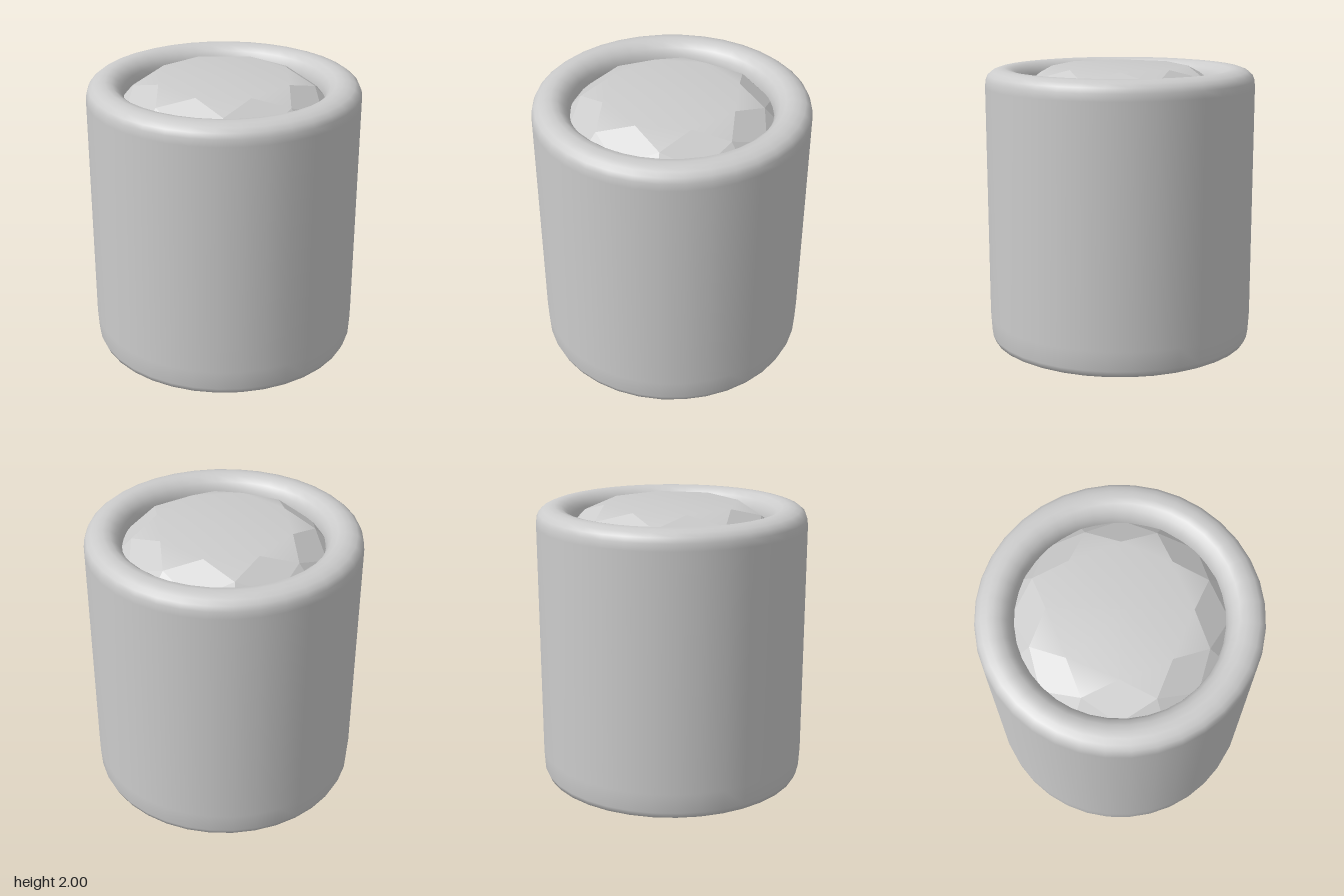
import * as THREE from 'three';

const STEP = Math.PI / 4;
const ring = (k, r, y) => [r * Math.sin(k * STEP), y, r * Math.cos(k * STEP)];

function lathe(points) {
  return new THREE.LatheGeometry(points.map(([r, y]) => new THREE.Vector2(r, y)), 36);
}

function fromTriangles(corners) {
  const g = new THREE.BufferGeometry();
  g.setAttribute('position', new THREE.Float32BufferAttribute(corners.flat(), 3));
  return g;
}

export function createModel() {
  const model = new THREE.Group();
  const smooth = new THREE.MeshStandardMaterial({ color: 0xcccccc });
  const faceted = new THREE.MeshStandardMaterial({ color: 0xcccccc, flatShading: true });
  const add = (name, geometry, material) => {
    const mesh = new THREE.Mesh(geometry, material);
    mesh.name = name;
    model.add(mesh);
  };

  // Round body: softened foot, straight wall, rolled rim dipping inside
  add('body', lathe([
    [0.87, 0], [0.9, 0.005], [0.93, 0.02], [0.947, 0.06], [0.955, 0.2],
    [0.955, 1.86], [0.95, 1.91], [0.935, 1.945], [0.905, 1.97], [0.865, 1.985],
    [0.82, 1.99], [0.775, 1.98], [0.735, 1.95], [0.71, 1.91], [0.697, 1.86], [0.695, 1.78],
  ]), smooth);
  add('base', lathe([[0, 0], [0.87, 0]]), smooth);

  // Cut gem: table and star facets blend softly, kites and girdle facets are flat
  const table = [[0, 2, 0]];
  const tableIndex = [];
  const crown = [];
  for (let k = 0; k < 8; k++) {
    table.push(ring(k, 0.48, 2), ring(k + 0.5, 0.63, 1.93));
    const a = 1 + 2 * k, mid = a + 1, b = 1 + 2 * ((k + 1) % 8);
    tableIndex.push(0, a, b, a, mid, b);

    const top = ring(k, 0.48, 2), rim = ring(k, 0.72, 1.835);
    const before = ring(k - 0.5, 0.63, 1.93), after = ring(k + 0.5, 0.63, 1.93);
    const rimBefore = ring(k - 0.5, 0.72, 1.835), rimAfter = ring(k + 0.5, 0.72, 1.835);
    crown.push(top, before, rim, top, rim, after);
    crown.push(before, rimBefore, rim, after, rim, rimAfter);
  }
  const tableGeometry = fromTriangles(table);
  tableGeometry.setIndex(tableIndex);
  tableGeometry.computeVertexNormals();
  add('gemTable', tableGeometry, smooth);

  const crownGeometry = fromTriangles(crown);
  crownGeometry.computeVertexNormals();
  add('gemCrown', crownGeometry, faceted);

  return model;
}
